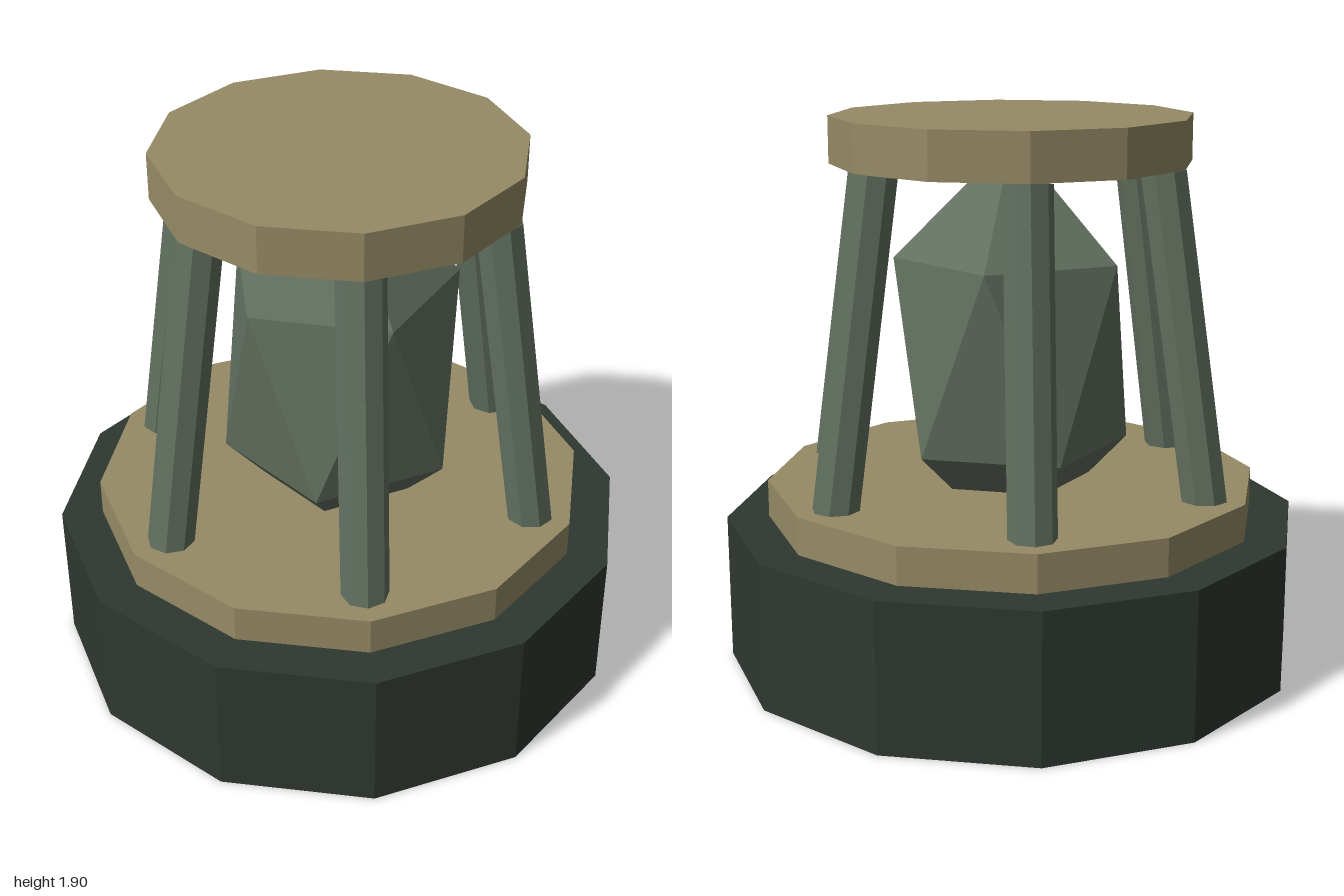
import * as THREE from 'three';

const flat = (name, color) => {
  const m = new THREE.MeshStandardMaterial({ color, flatShading: true });
  m.name = name;
  return m;
};

export function createModel() {
  const model = new THREE.Group();
  model.name = 'crystalPedestal';
  const darkStone = flat('darkStone', 0x2f3830);
  const tan = flat('tan', 0x968b66);
  const grayGreen = flat('grayGreen', 0x627060);

  const add = (name, geometry, material, parent = model) => {
    const mesh = new THREE.Mesh(geometry, material);
    mesh.name = name;
    parent.add(mesh);
    return mesh;
  };

  // Twelve-sided discs: base, floor plate and cap
  const disc = (name, radius, y0, y1, material) => {
    add(name, new THREE.CylinderGeometry(radius, radius, y1 - y0, 12), material)
      .position.y = (y0 + y1) / 2;
  };
  disc('base', 1, 0, 0.51, darkStone);
  disc('floorPlate', 0.855, 0.51, 0.64, tan);
  disc('cap', 0.617, 1.74, 1.9, tan);

  // Six octagonal posts leaning inward
  const foot = new THREE.Vector2(0.715, 0.61);
  const head = new THREE.Vector2(0.543, 1.73);
  for (let i = 0; i < 6; i++) {
    const pivot = new THREE.Group();
    pivot.name = 'post' + (i + 1);
    pivot.rotation.y = (i * Math.PI) / 3;
    const post = add('postShaft',
      new THREE.CylinderGeometry(0.08, 0.08, foot.distanceTo(head), 8), grayGreen, pivot);
    post.position.set(0, (foot.y + head.y) / 2, (foot.x + head.x) / 2);
    post.rotation.x = -Math.atan2(foot.x - head.x, head.y - foot.y);
    model.add(pivot);
  }

  // Crystal: icosahedron standing on a point, stretched upward
  const crystal = new THREE.IcosahedronGeometry(0.453, 0);
  crystal.rotateZ(-Math.atan(2 / (1 + Math.sqrt(5))));
  crystal.scale(1, 1.6, 1);
  add('crystal', crystal, grayGreen).position.y = 1.095;

  return model;
}
